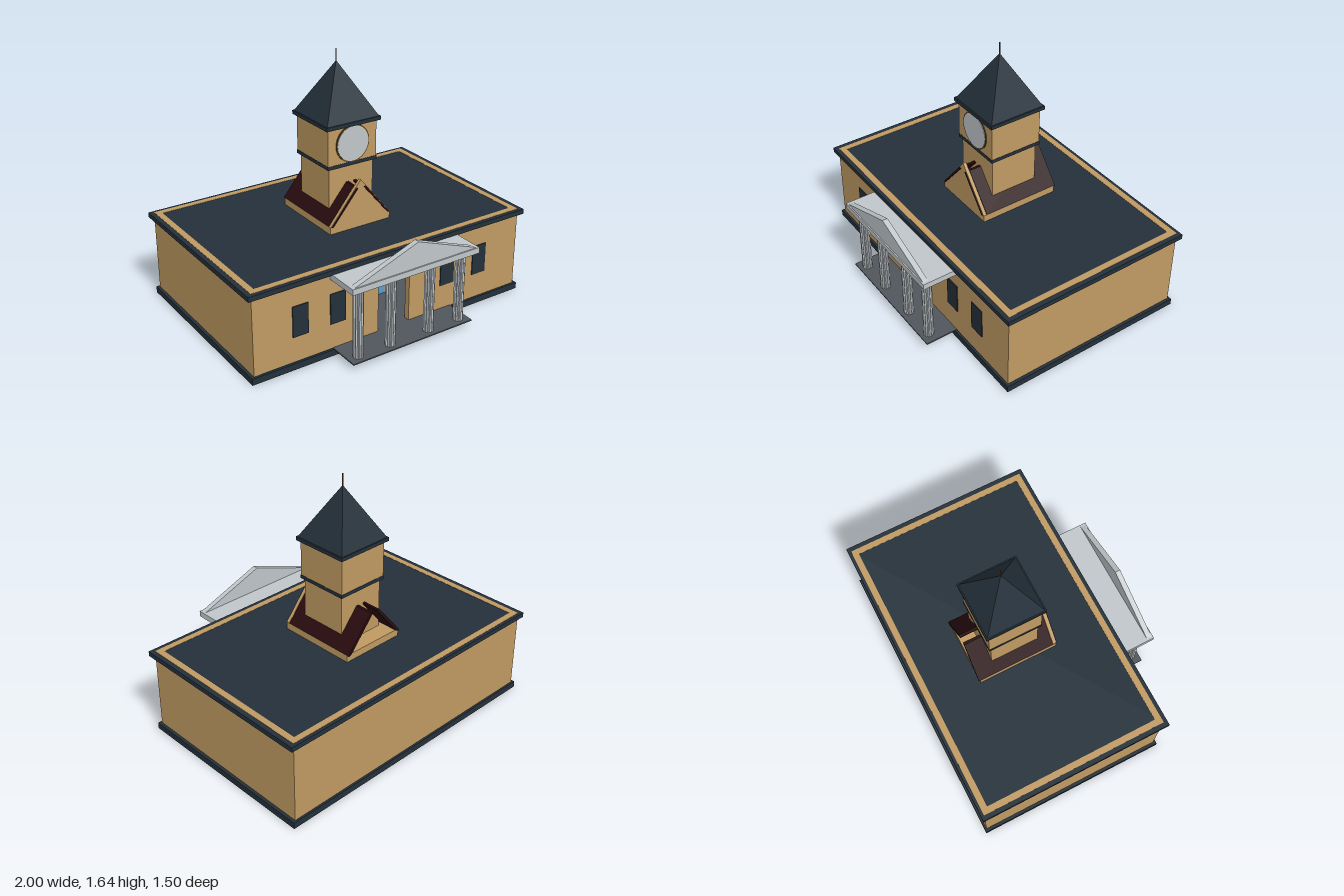
import * as THREE from 'three';

const mat = (name, color) => new THREE.MeshStandardMaterial({ name, color });

export function createModel() {
  const model = new THREE.Group();
  model.name = 'clockTowerHall';
  const tan = mat('tan wall', 0xc09a62);
  const slate = mat('slate', 0x24303a);
  const silver = mat('pale stone', 0xc0c6ca);
  const maroon = mat('maroon roof', 0x290c0f);
  const blue = mat('blue door', 0x5b9bcb);
  const brown = mat('brown trim', 0x5e3f14);
  const grey = mat('grey floor', 0x50565b);

  const add = (name, geometry, material, x = 0, y = 0, z = 0) => {
    const mesh = new THREE.Mesh(geometry, material);
    mesh.name = name;
    mesh.position.set(x, y, z);
    model.add(mesh);
    return mesh;
  };
  // Box given by its limits on each axis
  const box = (name, material, x0, x1, y0, y1, z0, z1) =>
    add(name, new THREE.BoxGeometry(x1 - x0, y1 - y0, z1 - z0), material,
      (x0 + x1) / 2, (y0 + y1) / 2, (z0 + z1) / 2);
  // Outline in x and y, extruded from z0 to z1
  const plate = (name, material, points, z0, z1) => {
    const shape = new THREE.Shape(points.map(([x, y]) => new THREE.Vector2(x, y)));
    const geometry = new THREE.ExtrudeGeometry(shape, { depth: z1 - z0, bevelEnabled: false });
    return add(name, geometry, material, 0, 0, z0);
  };

  // Plinth, floors and flat roof
  box('plinth', slate, -0.99, 0.99, 0, 0.042, -0.738, 0.535);
  box('interiorFloor', grey, -0.93, 0.93, 0.04, 0.046, -0.685, 0.52);
  box('porchFloor', grey, -0.44, 0.44, 0.038, 0.046, 0.5, 0.735);
  box('flatRoof', slate, -1, 1, 0.543, 0.575, -0.745, 0.545);

  // Hollow hall walls, with a doorway in the front
  const top = 0.5765;
  box('backWall', tan, -0.97, 0.97, 0.03, top, -0.725, -0.685);
  for (const s of [-1, 1]) {
    const inner = s * 0.93, outer = s * 0.97;
    box('sideWall', tan, Math.min(inner, outer), Math.max(inner, outer), 0.03, top, -0.685, 0.48);
  }
  plate('frontWall', tan, [
    [-0.97, 0.03], [-0.115, 0.03], [-0.115, 0.435], [0.115, 0.435],
    [0.115, 0.03], [0.97, 0.03], [0.97, top], [-0.97, top],
  ], 0.48, 0.52);
  for (const x of [-0.66, -0.405, 0.405, 0.66])
    box('window', slate, x - 0.0525, x + 0.0525, 0.21, 0.41, 0.518, 0.526);

  // Portico with fluted columns
  box('porticoSlab', silver, -0.457, 0.457, 0.508, 0.546, 0.515, 0.75);
  plate('pediment', silver, [[-0.445, 0.545], [0.445, 0.545], [0, 0.71]], 0.707, 0.742);
  const flutes = [];
  for (let i = 0; i < 24; i++) {
    const a = (i / 24) * Math.PI * 2, r = i % 2 ? 0.026 : 0.032;
    flutes.push(new THREE.Vector2(Math.cos(a) * r, Math.sin(a) * r));
  }
  const columnGeometry = new THREE.ExtrudeGeometry(new THREE.Shape(flutes), { depth: 0.464, bevelEnabled: false });
  columnGeometry.rotateX(-Math.PI / 2);
  for (const x of [-0.372, -0.142, 0.142, 0.372])
    add('column', columnGeometry, silver, x, 0.046, 0.68);

  // Central block seen through the doorway
  box('centralBlock', tan, -0.22, 0.22, 0.01, 0.622, -0.37, 0.163);
  box('innerDoor', blue, -0.19, 0.19, 0.05, 0.2, 0.16, 0.169);
  box('innerLedge', slate, -0.2, 0.2, 0.222, 0.232, 0.16, 0.169);
  for (const x of [-0.13, 0.13])
    box('innerWindow', slate, x - 0.05, x + 0.05, 0.3, 0.41, 0.16, 0.168);

  // Gable with two sloping roof panels, open at the ridge and the back
  plate('gableWall', tan, [[-0.22, 0.62], [0.22, 0.62], [0, 0.888]], 0.144, 0.166);
  for (const s of [-1, 1]) {
    const points = [[0.215, 0.615], [0.22, 0.622], [0.036, 0.843], [0.018, 0.843], [0.018, 0.835], [0.195, 0.622]];
    plate('gableRoof', maroon, points.map(([x, y]) => [s * x, y]), -0.38, 0.142);
    // End of each panel, shown on the gable wall
    const edge = [[0.2, 0.622], [0.213, 0.622], [0.036, 0.838], [0.024, 0.838], [0.024, 0.832]];
    plate('gableRoofEnd', maroon, edge.map(([x, y]) => [s * x, y]), 0.164, 0.171);
  }

  // Tower
  const cz = -0.1;
  const square = (name, material, half, y0, y1) =>
    box(name, material, -half, half, y0, y1, cz - half, cz + half);
  square('towerLower', tan, 0.16, 0.6, 0.96);
  square('towerBand', slate, 0.177, 0.953, 0.976);
  square('towerUpper', tan, 0.175, 0.976, 1.212);
  square('towerEave', slate, 0.195, 1.21, 1.234);
  const spire = new THREE.ConeGeometry(0.187 * Math.SQRT2, 0.333, 4, 1).toNonIndexed();
  spire.rotateY(Math.PI / 4);
  spire.computeVertexNormals();
  add('towerRoof', spire, slate, 0, 1.234 + 0.1665, cz);
  add('finial', new THREE.CylinderGeometry(0.004, 0.004, 0.09, 8), brown, 0, 1.595, cz);

  // Blank clock dial
  const disc = (r, d) => new THREE.CylinderGeometry(r, r, d, 48).rotateX(Math.PI / 2);
  add('clockRim', disc(0.12, 0.006), brown, 0, 1.095, 0.077);
  add('clockDial', disc(0.112, 0.008), silver, 0, 1.095, 0.079);

  return model;
}
